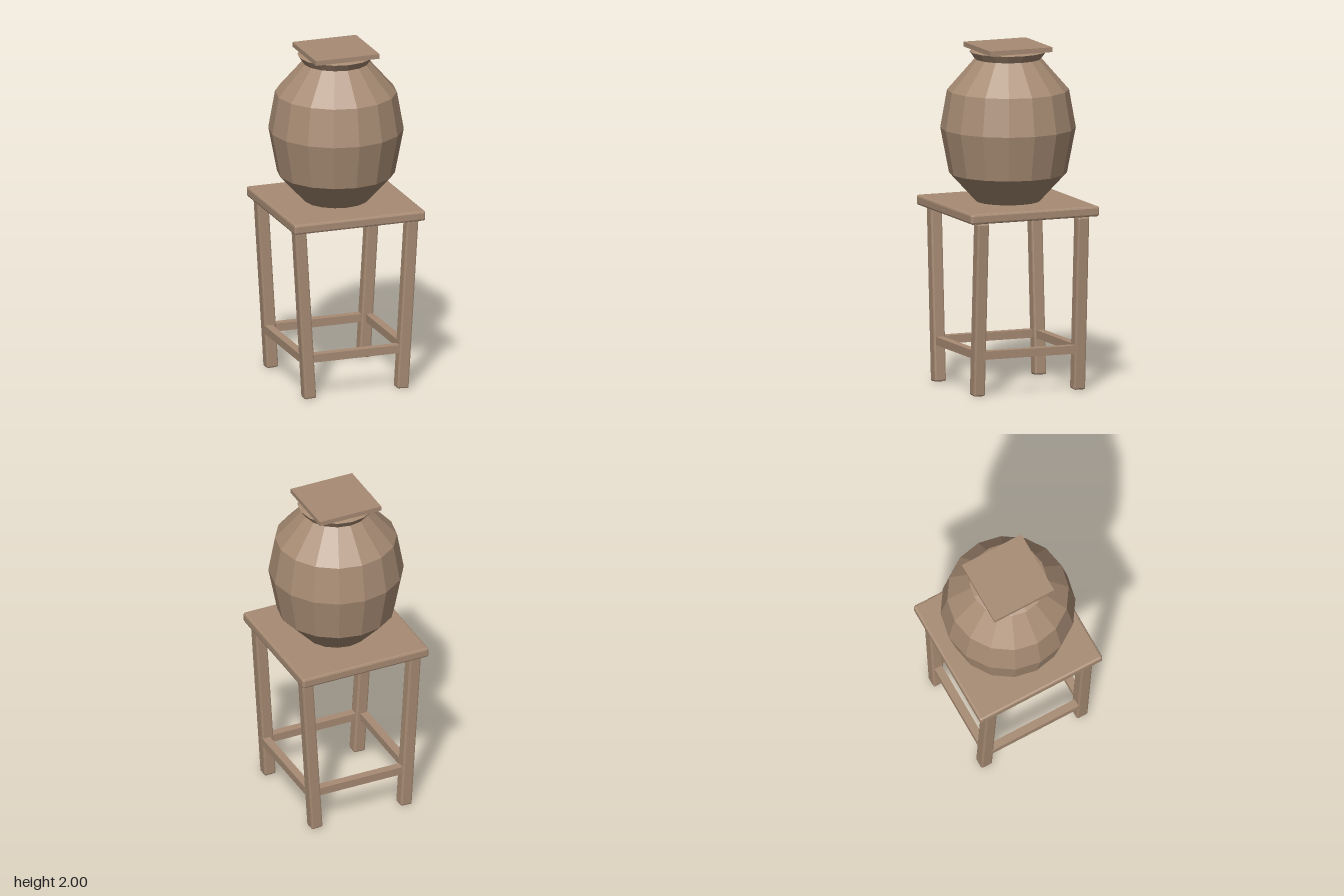
import * as THREE from 'three';
import { RoundedBoxGeometry } from 'three/addons/geometries/RoundedBoxGeometry.js';

export function createModel() {
  const model = new THREE.Group();
  model.name = 'jarOnStool';
  const clay = new THREE.MeshStandardMaterial({ color: 0xa88c74, flatShading: true });
  clay.name = 'tan clay';

  const add = (name, geometry, x, y, z, tilt = 0) => {
    const mesh = new THREE.Mesh(geometry, clay);
    mesh.name = name;
    mesh.position.set(x, y, z);
    mesh.rotation.z = tilt;
    model.add(mesh);
    return mesh;
  };

  // Stool seat with chamfered edges
  add('seat', new RoundedBoxGeometry(0.81, 0.06, 0.81, 1, 0.012), 0, 1.055, 0);

  // Four legs, splayed sideways only
  const legGeometry = new RoundedBoxGeometry(0.072, 1.024, 0.072, 1, 0.01);
  for (const sx of [1, -1]) {
    for (const sz of [1, -1]) {
      const name = (sz > 0 ? 'front' : 'back') + (sx > 0 ? 'Left' : 'Right') + 'Leg';
      add(name, legGeometry, sx * 0.316, 0.513, sz * 0.316, -sx * 0.06);
    }
  }

  // Stretchers joining the legs
  for (const s of [1, -1]) {
    add(s > 0 ? 'frontStretcher' : 'backStretcher', new THREE.BoxGeometry(0.6, 0.048, 0.048), 0, 0.241, s * 0.316);
    add(s > 0 ? 'leftStretcher' : 'rightStretcher', new THREE.BoxGeometry(0.048, 0.048, 0.6), s * 0.314, 0.241, 0);
  }

  // Sixteen-sided jar: body, flared rim and closed mouth
  const profile = [
    [0, 1.085], [0.188, 1.085], [0.342, 1.25], [0.393, 1.515], [0.354, 1.737],
    [0.194, 1.92], [0.224, 1.963], [0.195, 1.972], [0, 1.972],
  ].map(([r, y]) => new THREE.Vector2(r, y));
  add('jar', new THREE.LatheGeometry(profile, 16), 0, 0, 0);

  // Square lid
  add('lid', new THREE.BoxGeometry(0.394, 0.028, 0.394), 0, 1.986, 0);

  return model;
}
